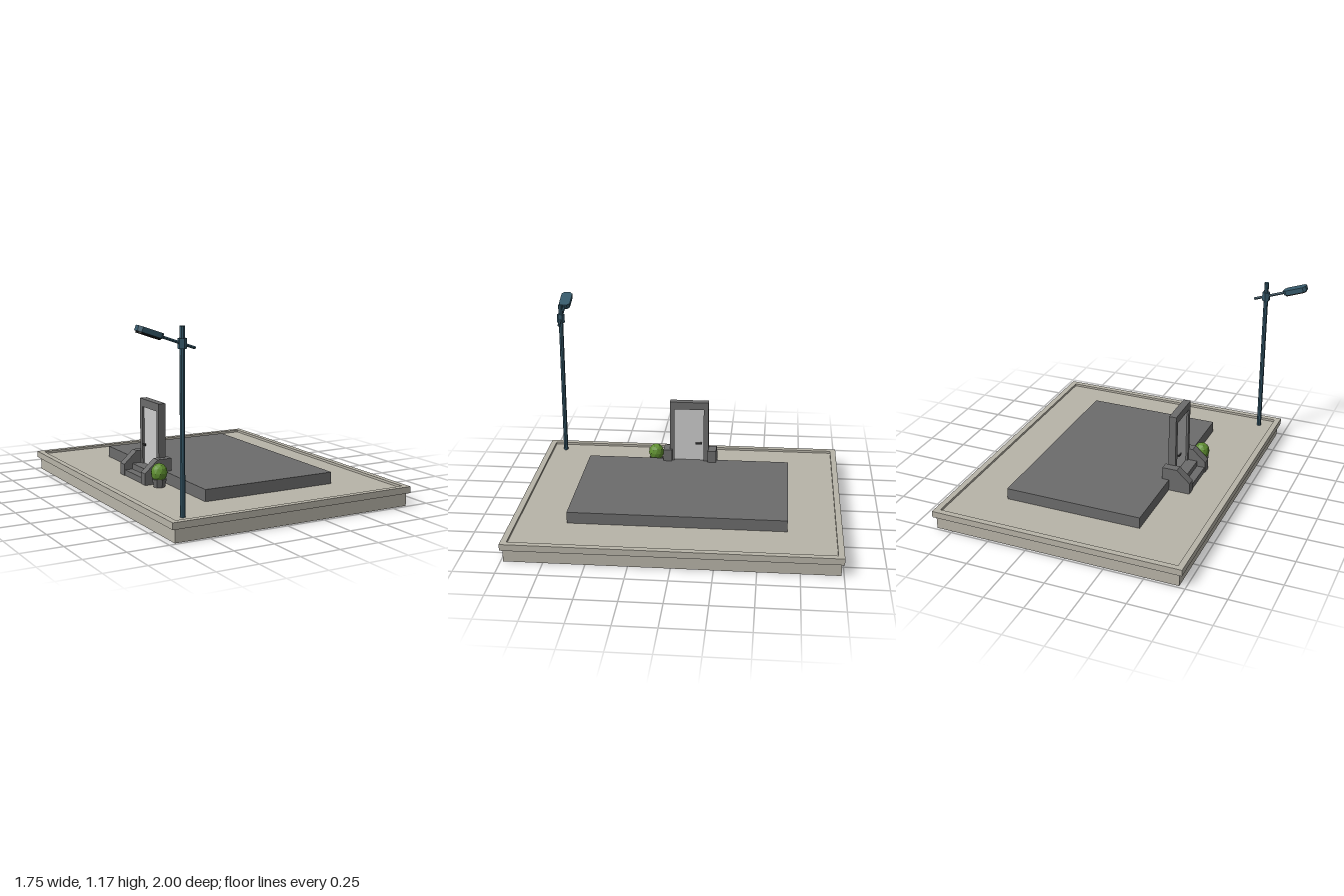
import * as THREE from 'three';

const mat = (color, extra = {}) => new THREE.MeshStandardMaterial({ color, flatShading: true, ...extra });
const stone = mat(0xb8b4a8), dark = mat(0x6c6c6c), pale = mat(0xcccccc), steel = mat(0x36596a);
const black = mat(0x111111), leaf = mat(0x5f8f30), metal = mat(0x3a3a3a);

export function createModel() {
  const model = new THREE.Group();

  const add = (name, geometry, material, parent = model) => {
    const mesh = new THREE.Mesh(geometry, material);
    mesh.name = name;
    parent.add(mesh);
    return mesh;
  };
  // box given by its minimum and maximum corners
  const box = (name, [x0, y0, z0], [x1, y1, z1], material, parent) => {
    const mesh = add(name, new THREE.BoxGeometry(x1 - x0, y1 - y0, z1 - z0), material, parent);
    mesh.position.set((x0 + x1) / 2, (y0 + y1) / 2, (z0 + z1) / 2);
    return mesh;
  };
  const outline = (points) => new THREE.Shape(points.map(([x, y]) => new THREE.Vector2(x, y)));
  const rect = (x0, y0, x1, y1) => outline([[x0, y0], [x1, y0], [x1, y1], [x0, y1]]);
  const extrude = (shape, depth) => new THREE.ExtrudeGeometry(shape, { depth, bevelEnabled: false });

  // plinth with a raised, overhanging rim
  box('plinth', [-0.71, 0, -0.985], [0.855, 0.105, 0.985], stone);
  const rimShape = rect(-0.73, -1, 0.875, 1);
  rimShape.holes.push(rect(-0.693, -0.963, 0.838, 0.963));
  add('rim', extrude(rimShape, 0.04).rotateX(-Math.PI / 2), stone).position.y = 0.08;

  // building floor slab
  box('floorSlab', [-0.343, 0.105, -0.672], [0.535, 0.177, 0.662], dark);

  // entrance steps between two sloped cheek walls
  box('lowerStep', [-0.475, 0.105, -0.14], [-0.42, 0.141, 0.11], dark);
  box('upperStep', [-0.425, 0.105, -0.14], [-0.34, 0.177, 0.11], dark);
  const cheek = outline([[-0.48, 0.105], [-0.298, 0.105], [-0.298, 0.255], [-0.394, 0.255], [-0.48, 0.177]]);
  for (const z of [-0.191, 0.102]) add('cheekWall', extrude(cheek, 0.057), dark).position.z = z;

  // door frame, open at the bottom, with a recessed panel
  const frame = outline([
    [-0.117, 0.177], [-0.088, 0.177], [-0.088, 0.54], [0.107, 0.54],
    [0.107, 0.177], [0.139, 0.177], [0.139, 0.59], [-0.117, 0.59],
  ]);
  add('doorFrame', extrude(frame, 0.047).rotateY(Math.PI / 2), dark).position.x = -0.365;
  box('doorPanel', [-0.352, 0.177, -0.107], [-0.335, 0.54, 0.088], pale);

  // lever handle on both faces of the door
  for (const side of [-1, 1]) {
    const x = -0.3435 + side * 0.018;
    const stem = add('handleStem', new THREE.CylinderGeometry(0.005, 0.005, 0.025, 6).rotateZ(Math.PI / 2), metal);
    stem.position.set(x, 0.302, -0.09);
    const lever = box('handleLever', [-0.004, -0.005, -0.022], [0.004, 0.005, 0.022], metal);
    lever.position.set(x + side * 0.009, 0.302, -0.075);
  }

  // potted bush beside the steps
  const plant = new THREE.Group();
  plant.name = 'pottedBush';
  plant.position.set(-0.415, 0.105, 0.22);
  model.add(plant);
  add('pot', new THREE.CylinderGeometry(0.047, 0.037, 0.05, 8), dark, plant).position.y = 0.025;
  const bush = new THREE.IcosahedronGeometry(0.051, 1).rotateX(-Math.atan((1 + Math.sqrt(5)) / 2)).scale(1, 1.15, 1);
  add('bush', bush, leaf, plant).position.y = 0.087;

  // street lamp: pole, sleeve, sloping arm and head
  const lamp = new THREE.Group();
  lamp.name = 'streetLamp';
  lamp.position.set(-0.606, 0, 0.88);
  model.add(lamp);
  add('pole', new THREE.CylinderGeometry(0.015, 0.015, 1.047, 8), steel, lamp).position.y = 0.6285;
  add('sleeve', new THREE.CylinderGeometry(0.026, 0.026, 0.056, 6), steel, lamp).position.y = 1.058;

  const arm = new THREE.Group();
  arm.name = 'lampArm';
  arm.position.y = 1.057;
  arm.rotation.z = -0.34;
  lamp.add(arm);
  add('armRod', new THREE.CylinderGeometry(0.009, 0.009, 0.222, 6).rotateZ(Math.PI / 2), steel, arm).position.x = -0.029;

  // lamp head: plan with cut corners
  const plan = (x0, x1, w, c) => outline([
    [x0 + c, -w], [x1 - c, -w], [x1, -w + c], [x1, w - c],
    [x1 - c, w], [x0 + c, w], [x0, w - c], [x0, -w + c],
  ]);
  const slab = (shape, height) => extrude(shape, height).rotateX(-Math.PI / 2);
  add('lampHead', slab(plan(-0.285, -0.13, 0.037, 0.018), 0.03), steel, arm).position.y = -0.011;
  add('lampPane', slab(plan(-0.277, -0.138, 0.03, 0.014), 0.01), black, arm).position.y = -0.02;

  return model;
}
